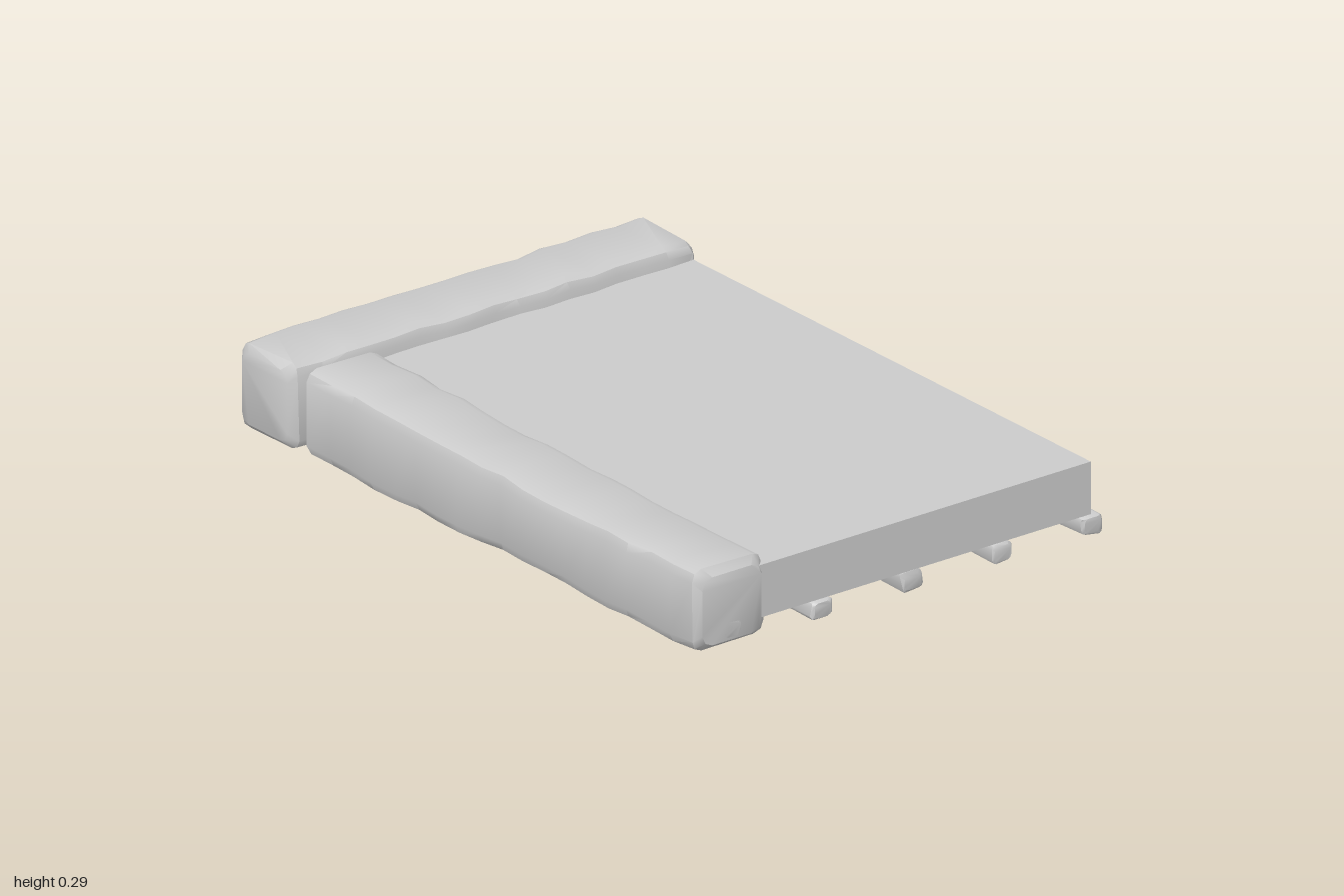
import * as THREE from 'three';
import { toCreasedNormals } from 'three/addons/utils/BufferGeometryUtils.js';

const material = new THREE.MeshStandardMaterial({ color: 0xcccccc, side: THREE.DoubleSide });

function seeded(seed) {
  let s = seed;
  return () => (s = (s * 16807) % 2147483647) / 2147483647;
}

// Rough-hewn timber along z: a chamfered rectangle lofted through slightly wobbling rings.
// lift(z, side) shifts the top (side = 1) or the bottom (side = -1) of a ring.
function timber(name, { w, h, z0, z1, chamfer, bevel, rings, wobble, seed, lift = () => 0 }) {
  const rand = seeded(seed);
  const positions = [];
  const index = [];
  const sides = 12;

  const addRing = (z, inset, rough) => {
    const a = w / 2 - inset, b = h / 2 - inset;
    for (const [sx, sy] of [[1, 1], [-1, 1], [-1, -1], [1, -1]]) {
      const dx = (rand() - 0.5) * rough, dy = (rand() - 0.5) * rough;
      const flip = sx * sy < 0;
      const corner = [[0, 1], [0.3, 0.3], [1, 0]];
      if (flip) corner.reverse();
      for (const [u, v] of corner) {
        positions.push(
          sx * (a - u * chamfer) + dx,
          sy * (b - v * chamfer) + dy + lift(z, sy),
          z + (inset ? 0 : (rand() - 0.5) * rough)
        );
      }
    }
  };

  addRing(z0, bevel, 0);
  for (let i = 0; i <= rings; i++) {
    addRing(THREE.MathUtils.lerp(z0 + bevel, z1 - bevel, i / rings), 0, wobble);
  }
  addRing(z1, bevel, 0);

  const count = rings + 3;
  for (let r = 0; r < count - 1; r++) {
    for (let i = 0; i < sides; i++) {
      const a = r * sides + i, b = r * sides + (i + 1) % sides;
      index.push(a, b, a + sides, b, b + sides, a + sides);
    }
  }
  // End caps
  const last = (count - 1) * sides;
  for (let i = 1; i < sides - 1; i++) {
    index.push(0, i + 1, i, last, last + i, last + i + 1);
  }

  const geometry = new THREE.BufferGeometry();
  geometry.setAttribute('position', new THREE.Float32BufferAttribute(positions, 3));
  geometry.setIndex(index);
  const mesh = new THREE.Mesh(toCreasedNormals(geometry, 0.75), material);
  mesh.name = name;
  return mesh;
}

export function createModel() {
  const group = new THREE.Group();
  group.name = 'platform';

  // Flat deck slab
  const deck = new THREE.Mesh(new THREE.BoxGeometry(1.24, 0.155, 1.765), material);
  deck.name = 'deck';
  deck.position.set(0.05, 0.158, 0.103);
  group.add(deck);

  // Thick beam across the back
  const backBeam = timber('backBeam', {
    w: 0.242, h: 0.245, z0: -0.7, z1: 0.7, chamfer: 0.03, bevel: 0.022,
    rings: 16, wobble: 0.01, seed: 11,
    lift: (z, side) => (side < 0 ? 0.008 * Math.cos(z * 4) : 0)
  });
  backBeam.rotation.y = Math.PI / 2;
  backBeam.position.set(-0.014, 0.165, -0.872);
  group.add(backBeam);

  // Thick beam along the side, rising a little toward the back
  const sideBeam = timber('sideBeam', {
    w: 0.247, h: 0.235, z0: -0.73, z1: 0.99, chamfer: 0.034, bevel: 0.022,
    rings: 18, wobble: 0.01, seed: 29,
    lift: (z, side) => (side > 0 ? 0.008 - 0.016 * z + 0.014 * z * z : 0.004 * Math.sin(z * 5))
  });
  sideBeam.position.set(-0.568, 0.145, 0);
  group.add(sideBeam);

  // Evenly spaced joists beneath the deck; the outermost runs inside the side beam
  for (let i = 0; i < 5; i++) {
    const sag = i === 3 ? 0.014 : 0.009;
    const joist = timber('joist' + (i + 1), {
      w: 0.068, h: 0.056, z0: -0.86, z1: 0.99, chamfer: 0.012, bevel: 0.006,
      rings: 14, wobble: 0.008, seed: 101 + i * 37,
      lift: (z, side) => (side < 0 ? -sag * Math.exp(-8 * (z - 0.05) ** 2) : 0)
    });
    joist.position.set(-0.565 + i * 0.31, i === 0 ? 0.075 : 0.049, 0);
    group.add(joist);
  }

  return group;
}
